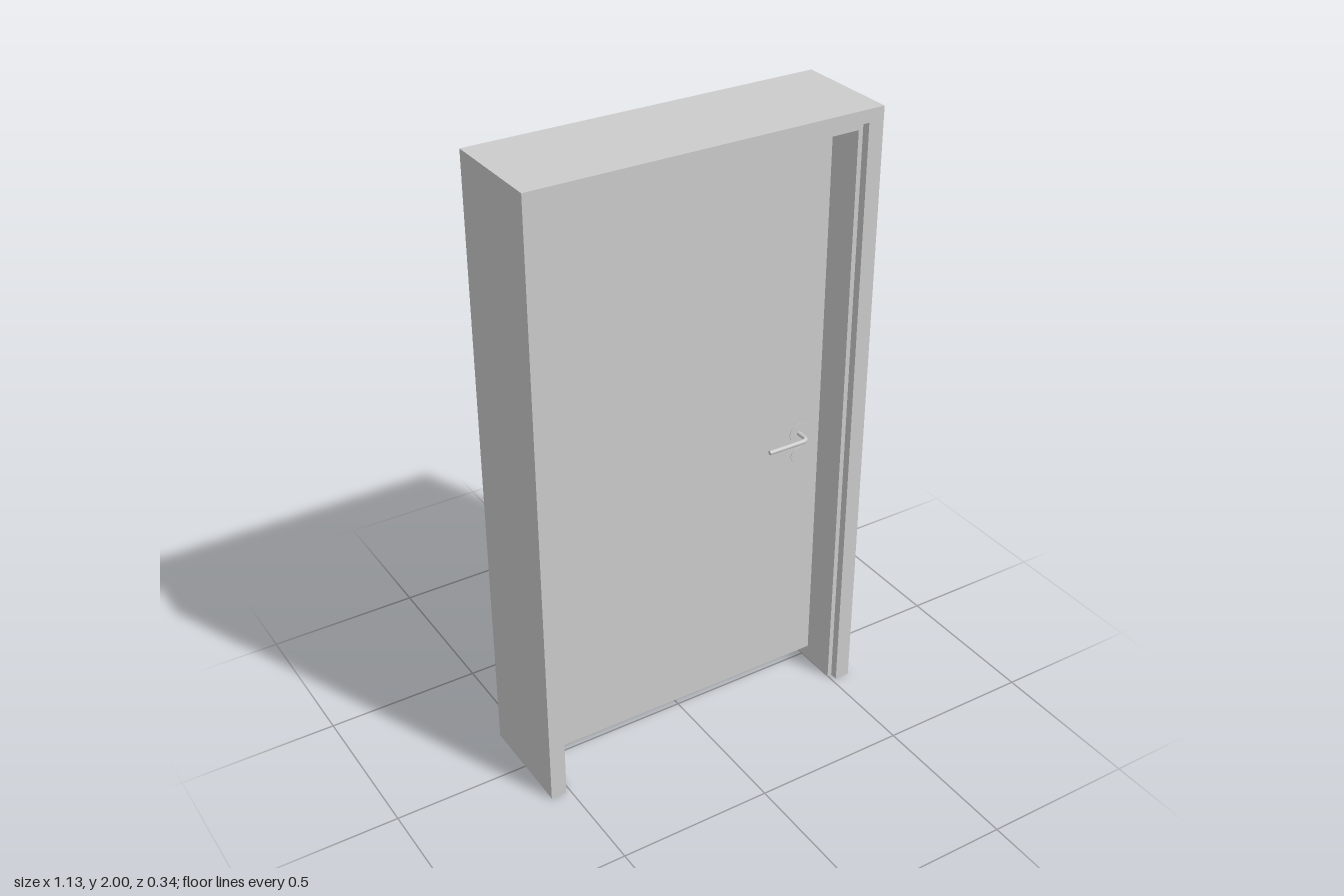
import * as THREE from 'three';

const material = new THREE.MeshStandardMaterial({ color: 0xcccccc });

function addMesh(parent, name, geometry, x = 0, y = 0, z = 0) {
  const mesh = new THREE.Mesh(geometry, material);
  mesh.name = name;
  mesh.position.set(x, y, z);
  parent.add(mesh);
  return mesh;
}

// Stepped jamb profile swept up the left side, across the top and down the right
function frameGeometry() {
  const W = 0.565, H = 2, zo = 0.172, zi = 0.146;
  // [side inset, head inset, z]
  const profile = [
    [0, 0, zo], [0.05, 0.04, zo], [0.05, 0.04, zi], [0.065, 0.067, zi],
    [0.065, 0.067, -zi], [0.05, 0.04, -zi], [0.05, 0.04, -zo], [0, 0, -zo],
  ];
  const stations = [[-1, 0], [-1, 1], [1, 1], [1, 0]]; // [side, at head]
  const point = (i, s) => {
    const [u, v, z] = profile[i % profile.length];
    const [side, head] = stations[s];
    return [side * (W - u), head * (H - v), z];
  };
  const positions = [];
  const quad = (a, b, c, d) => positions.push(...a, ...b, ...c, ...a, ...c, ...d);
  for (let s = 0; s < 3; s++) {
    for (let i = 0; i < profile.length; i++) {
      quad(point(i, s), point(i + 1, s), point(i + 1, s + 1), point(i, s + 1));
    }
  }
  // Feet of both jambs
  for (const ids of [[0, 1, 6, 7], [2, 3, 4, 5]]) {
    quad(...[...ids].reverse().map((i) => point(i, 0)));
    quad(...ids.map((i) => point(i, 3)));
  }
  const geometry = new THREE.BufferGeometry();
  geometry.setAttribute('position', new THREE.Float32BufferAttribute(positions, 3));
  geometry.computeVertexNormals();
  return geometry;
}

// Lever, rose and key plate for one face; local z = 0 is the door face
function createHandle(name) {
  const handle = new THREE.Group();
  handle.name = name;
  const x = 0.421, y = 0.919, reach = 0.05, bend = 0.022, r = 0.007;

  const path = new THREE.CurvePath();
  const v = (px, pz) => new THREE.Vector3(px, y, pz);
  path.add(new THREE.LineCurve3(v(x, 0), v(x, reach - bend)));
  path.add(new THREE.QuadraticBezierCurve3(v(x, reach - bend), v(x, reach), v(x - bend, reach)));
  path.add(new THREE.LineCurve3(v(x - bend, reach), v(0.278, reach)));
  addMesh(handle, 'lever', new THREE.TubeGeometry(path, 40, r, 16));
  const end = addMesh(handle, 'leverEnd', new THREE.CircleGeometry(r, 16), 0.278, y, reach);
  end.rotation.y = -Math.PI / 2;

  for (const [plate, py, radius] of [['rose', y, 0.033], ['keyPlate', y - 0.08, 0.026]]) {
    const disc = addMesh(handle, plate, new THREE.CylinderGeometry(radius, radius, 0.003, 32), x, py, 0.0005);
    disc.rotation.x = Math.PI / 2;
  }
  return handle;
}

export function createModel() {
  const model = new THREE.Group();
  model.name = 'door';

  addMesh(model, 'frame', frameGeometry());

  // Leaf with a narrow gap at the hinge side and the head
  const left = -0.493, right = 0.498, bottom = 0.053, top = 1.928, half = 0.032;
  addMesh(model, 'leaf', new THREE.BoxGeometry(right - left, top - bottom, half * 2),
    (left + right) / 2, (bottom + top) / 2, 0);

  // Handles on both faces
  for (const side of [1, -1]) {
    const handle = createHandle(side > 0 ? 'frontHandle' : 'backHandle');
    handle.position.z = side * half;
    handle.scale.z = side;
    model.add(handle);
  }

  // Floor pivot under the hinge corner: round-ended arm
  const r = 0.009, reach = 0.02;
  const arm = new THREE.Shape();
  arm.absarc(0, reach, r, 0, Math.PI);
  arm.absarc(0, -reach, r, Math.PI, Math.PI * 2);
  arm.closePath();
  const pivot = addMesh(model, 'floorPivot',
    new THREE.ExtrudeGeometry(arm, { depth: 0.026, bevelEnabled: false, curveSegments: 12 }),
    -0.484, 0.027, 0);
  pivot.rotation.x = -Math.PI / 2;

  return model;
}
